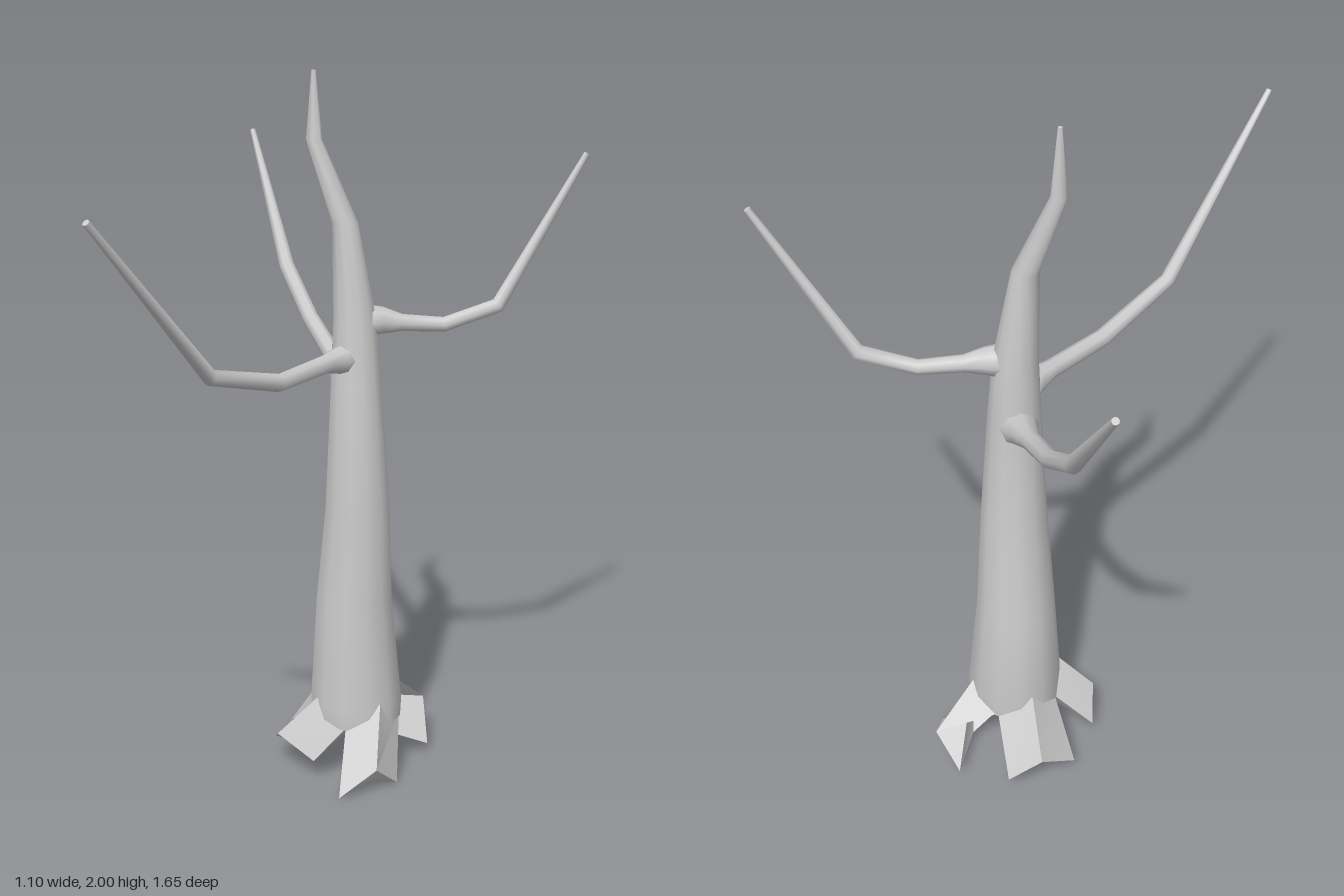
import * as THREE from 'three';
import { toCreasedNormals } from 'three/addons/utils/BufferGeometryUtils.js';

const V = (x, y, z) => new THREE.Vector3(x, y, z);

// Skins a list of equal-sized closed rings; the last ring gets a cap.
function loft(rings) {
  const n = rings[0].length;
  const last = rings[rings.length - 1];
  const tip = last.reduce((sum, p) => sum.add(p), V(0, 0, 0)).divideScalar(n);
  const points = [...rings.flat(), tip];
  const index = [];
  for (let r = 0; r < rings.length - 1; r++) {
    for (let i = 0; i < n; i++) {
      const a = r * n + i, b = r * n + (i + 1) % n;
      index.push(a, b, a + n, b, b + n, a + n);
    }
  }
  const top = (rings.length - 1) * n;
  for (let i = 0; i < n; i++) index.push(top + i, top + (i + 1) % n, points.length - 1);
  const geometry = new THREE.BufferGeometry().setFromPoints(points);
  geometry.setIndex(index);
  return toCreasedNormals(geometry, 0.95);
}

// Ring of points around a centre, spanned by two axes.
function ring(centre, u, v, ru, rv, sides) {
  return Array.from({ length: sides }, (_, i) => {
    const a = (i / sides) * Math.PI * 2;
    return centre.clone().addScaledVector(u, ru * Math.cos(a)).addScaledVector(v, rv * Math.sin(a));
  });
}

// Tapered limb through stations of [x, y, z, radius].
function limb(stations, sides = 8) {
  const pts = stations.map(([x, y, z]) => V(x, y, z));
  const span = pts[pts.length - 1].clone().sub(pts[0]);
  const side = V(0, 1, 0).cross(span).normalize();
  return loft(pts.map((p, i) => {
    const inDir = p.clone().sub(pts[Math.max(i - 1, 0)]).normalize();
    const outDir = pts[Math.min(i + 1, pts.length - 1)].clone().sub(p).normalize();
    const dir = inDir.add(outDir).normalize();
    const u = side.clone().addScaledVector(dir, -side.dot(dir)).normalize();
    const v = dir.clone().cross(u);
    return ring(p, u, v, stations[i][3], stations[i][3], sides);
  }));
}

export function createModel() {
  const tree = new THREE.Group();
  tree.name = 'bareTree';
  const material = new THREE.MeshStandardMaterial({ color: 0xcccccc, side: THREE.DoubleSide });
  const add = (name, geometry) => {
    const mesh = new THREE.Mesh(geometry, material);
    mesh.name = name;
    tree.add(mesh);
  };

  // Trunk: [y, x centre, z centre, x radius, z radius]
  const trunk = [
    [0.16, -0.047, -0.108, 0.132, 0.134],
    [0.22, -0.047, -0.108, 0.135, 0.137],
    [0.52, -0.055, -0.118, 0.111, 0.112],
    [0.80, -0.038, -0.09, 0.093, 0.092],
    [1.15, -0.046, -0.108, 0.072, 0.073],
    [1.34, -0.05, -0.11, 0.06, 0.06],
    [1.60, -0.076, -0.11, 0.036, 0.037],
    [1.82, -0.16, -0.108, 0.022, 0.02],
    [2.00, -0.16, -0.11, 0.006, 0.005],
  ];
  add('trunk', loft(trunk.map(([y, x, z, rx, rz]) =>
    ring(V(x, y, z), V(0, 0, 1), V(1, 0, 0), rz, rx, 12))));

  // Branches
  add('leftBranch', limb([
    [-0.04, 1.33, -0.115, 0.05], [0.02, 1.33, -0.14, 0.038], [0.07, 1.322, -0.16, 0.024],
    [0.18, 1.312, -0.207, 0.021], [0.32, 1.36, -0.265, 0.022], [0.54, 1.772, -0.357, 0.009],
  ]));
  add('frontBranch', limb([
    [-0.06, 1.23, -0.09, 0.05], [-0.08, 1.235, -0.04, 0.036], [-0.1, 1.237, 0.01, 0.026],
    [-0.175, 1.232, 0.21, 0.024], [-0.28, 1.302, 0.45, 0.021], [-0.433, 1.738, 0.815, 0.009],
  ]));
  add('backBranch', limb([
    [-0.07, 1.15, -0.14, 0.055], [-0.105, 1.172, -0.19, 0.04], [-0.145, 1.195, -0.245, 0.026],
    [-0.25, 1.268, -0.39, 0.024], [-0.36, 1.388, -0.535, 0.023], [-0.545, 1.755, -0.818, 0.009],
  ]));

  // Roots: splayed from shared crotches, each ending in a raised ridge and two toes.
  const cx = -0.047, cz = -0.108;
  const around = (angle, radius, y) =>
    V(cx + Math.cos(angle) * radius, y, cz + Math.sin(angle) * radius);
  // angle in quarter turns, toes [x, z], ridge [x, y, z], ground height
  const roots = [
    ['frontLeftRoot', 0.5, [0.1, 0.0], [0.06, 0.08, 0.09], [-0.04, 0.13], 0.0],
    ['frontRightRoot', 1.5, [-0.135, 0.05], [-0.25, 0.125, 0.02], [-0.285, -0.08], 0.065],
    ['backRightRoot', 2.5, [-0.28, -0.22], [-0.22, 0.125, -0.33], [-0.13, -0.36], 0.045],
    ['backLeftRoot', 3.5, [0.15, -0.2], [0.11, 0.12, -0.33], [0.02, -0.37], 0.03],
  ];
  for (const [name, quarter, toeA, ridge, toeB, y] of roots) {
    const angle = quarter * Math.PI / 2;
    const start = [
      around(angle - Math.PI / 4, 0.128, 0.165), around(angle, 0.132, 0.235),
      around(angle + Math.PI / 4, 0.128, 0.165), V(cx, 0.12, cz),
    ];
    const under = V((toeA[0] + toeB[0]) / 2, y + 0.01, (toeA[1] + toeB[1]) / 2)
      .lerp(V(cx, y + 0.01, cz), 0.35);
    const end = [V(toeA[0], y, toeA[1]), V(...ridge), V(toeB[0], y, toeB[1]), under];
    // Order corners so the skin faces outward.
    add(name, loft([start.reverse(), end.reverse()]));
  }
  return tree;
}
